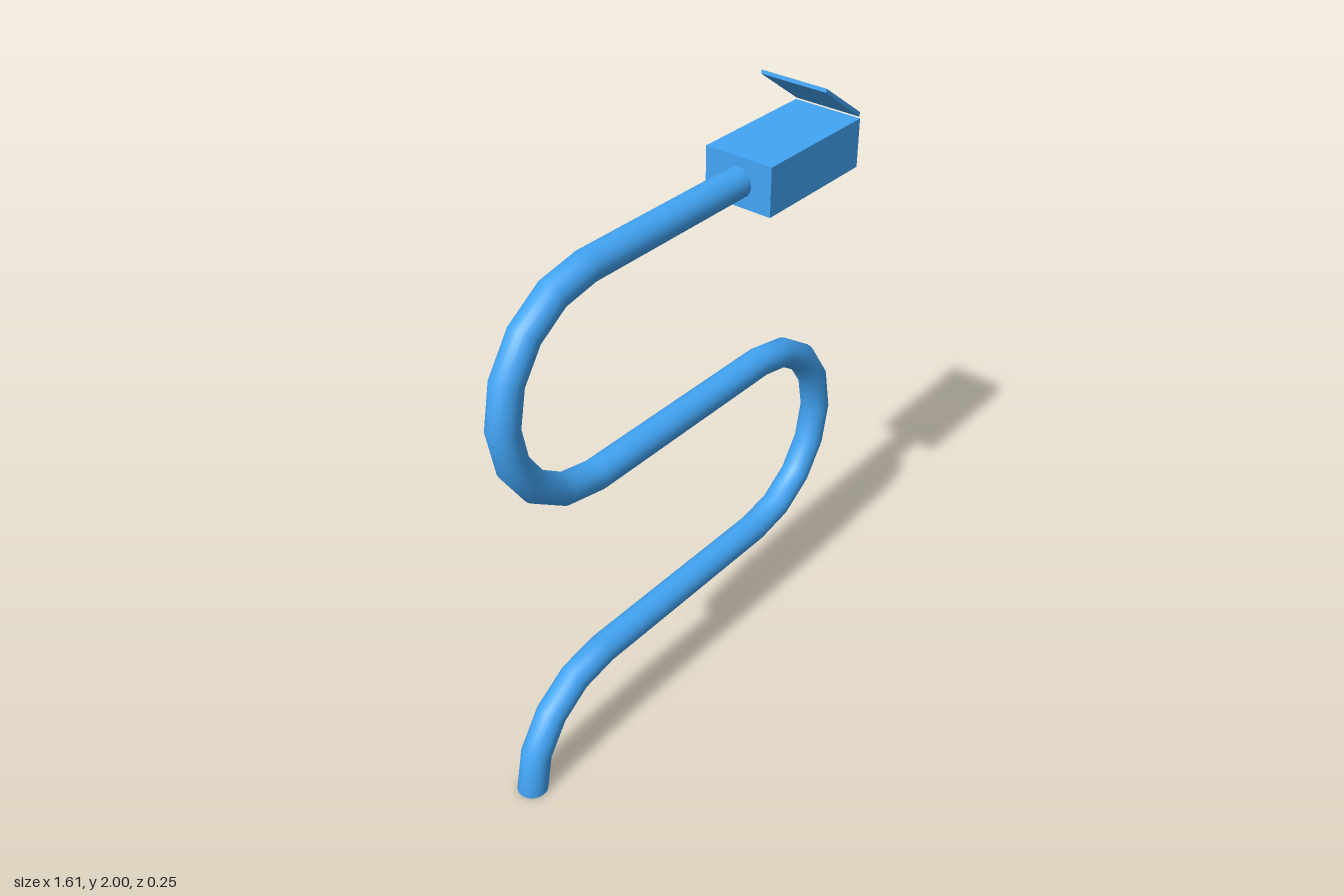
import * as THREE from 'three';

const BLUE = 0x42a5f5;
const TUBE_R = 0.05, BEND_R = 0.352, BEND_X = 0.404;

// Path given by stations, so each bend keeps its coarse, even steps
class StationCurve extends THREE.Curve {
  constructor(stations) {
    super();
    this.stations = stations;
  }
  station(t) {
    const n = this.stations.length - 1;
    return this.stations[Math.min(n, Math.round(t * n))];
  }
  getPointAt(t) { return this.station(t).point.clone(); }
  getTangentAt(t) { return this.station(t).tangent.clone(); }
  getPoint(t) { return this.getPointAt(t); }
  getTangent(t) { return this.getTangentAt(t); }
}

export function createModel() {
  const group = new THREE.Group();
  const blue = new THREE.MeshStandardMaterial({ color: BLUE });
  const blueOpen = new THREE.MeshStandardMaterial({ color: BLUE, side: THREE.DoubleSide });
  const black = new THREE.MeshStandardMaterial({ color: 0x111111 });

  const add = (name, geometry, material, x = 0, y = 0, z = 0) => {
    const mesh = new THREE.Mesh(geometry, material);
    mesh.name = name;
    mesh.position.set(x, y, z);
    group.add(mesh);
    return mesh;
  };

  // Winding pipe: quarter bend, then two half bends joined by straight runs
  const stations = [];
  const bend = (cx, cy, from, to, steps) => {
    const dir = Math.sign(to - from);
    for (let i = 0; i <= steps; i++) {
      const a = from + (to - from) * i / steps;
      stations.push({
        point: new THREE.Vector3(cx + BEND_R * Math.cos(a), cy + BEND_R * Math.sin(a), 0),
        tangent: new THREE.Vector3(-Math.sin(a) * dir, Math.cos(a) * dir, 0),
      });
    }
  };
  const H = Math.PI / 2;
  bend(-BEND_X, 0, Math.PI, H, 4);
  bend(BEND_X, 2 * BEND_R, -H, H, 8);
  bend(-BEND_X, 4 * BEND_R, 3 * H, H, 8);
  stations.push({ point: new THREE.Vector3(0.27, 5 * BEND_R, 0), tangent: new THREE.Vector3(1, 0, 0) });
  add('pipe', new THREE.TubeGeometry(new StationCurve(stations), stations.length - 1, TUBE_R, 24, false), blueOpen);

  // Box housing, open at its +x end
  const x0 = 0.265, x1 = 0.725, y0 = 1.68, y1 = 1.843, w = 0.245, t = 0.015;
  const len = x1 - x0, cx = (x0 + x1) / 2, cy = (y0 + y1) / 2, h = y1 - y0;
  const frame = new THREE.Shape();
  const hole = new THREE.Path();
  const rect = (path, a, b) => path.moveTo(-a, -b).lineTo(a, -b).lineTo(a, b).lineTo(-a, b).closePath();
  rect(frame, w / 2, h / 2);
  rect(hole, w / 2 - t, h / 2 - t);
  frame.holes.push(hole);
  const sleeve = new THREE.ExtrudeGeometry(frame, { depth: len, bevelEnabled: false });
  sleeve.rotateY(H);
  add('housing', sleeve, blue, x0, cy);
  add('housingBackWall', new THREE.BoxGeometry(t, h - 2 * t, w - 2 * t), blue, x0 + t / 2, cy);
  add('innerScreen', new THREE.BoxGeometry(0.01, h - 2 * t, w - 2 * t), black, x0 + t + 0.005, cy);

  // Thin lid, raised from its hinge over the opening
  const lid = new THREE.Shape([
    [x1, 1.848], [x1, 1.864], [0.532, 2.0], [0.529, 1.988],
  ].map(([x, y]) => new THREE.Vector2(x, y)));
  add('lid', new THREE.ExtrudeGeometry(lid, { depth: 0.24, bevelEnabled: false }), blue, 0, 0, -0.12);

  return group;
}
